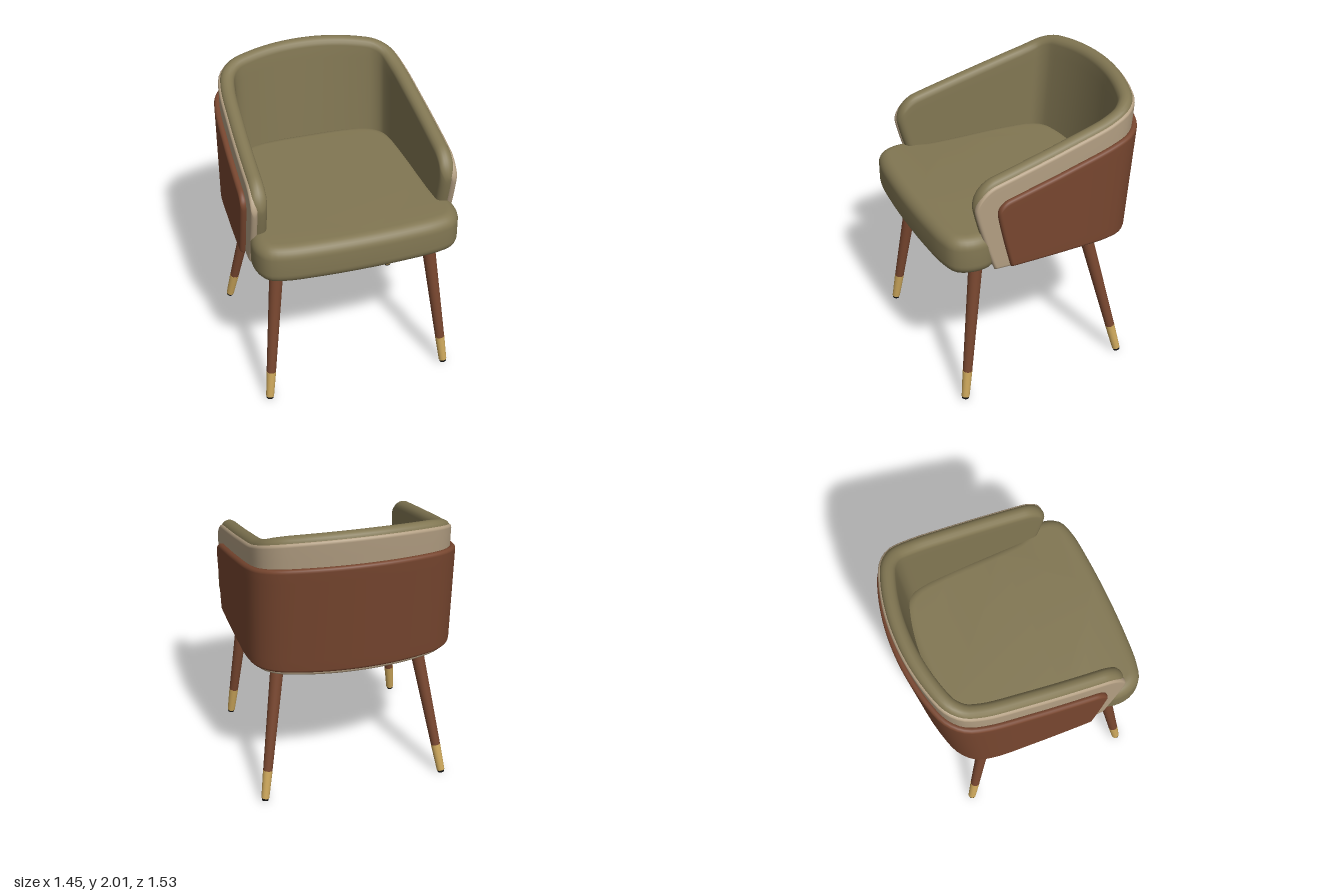
import * as THREE from 'three';
import { mergeVertices, toCreasedNormals } from 'three/addons/utils/BufferGeometryUtils.js';

const mat = (name, color, side = THREE.FrontSide) => {
  const m = new THREE.MeshStandardMaterial({ color, side });
  m.name = name;
  return m;
};

// Half of the shell's plan, from the middle of the back to the arm
const PLAN = [[0, -0.745], [0.2, -0.732], [0.4, -0.69], [0.54, -0.635], [0.62, -0.55],
  [0.655, -0.42], [0.675, -0.1], [0.685, 0.2]];

function planCurve(zFront) {
  const half = [...PLAN, [0.69, zFront]];
  const left = half.slice(1).reverse().map(([x, z]) => new THREE.Vector3(-x, 0, z));
  const right = half.map(([x, z]) => new THREE.Vector3(x, 0, z));
  const curve = new THREE.CatmullRomCurve3([...left, ...right], false, 'centripetal');
  curve.arcLengthDivisions = 800;
  return curve;
}

// The shell narrows towards the floor at the front and the back
function lean(z, y) {
  if (z < 0) return z * (1 - 0.13 * (2 - y));
  const t = THREE.MathUtils.clamp((1.5 - y) / 0.47, 0, 1);
  return z * (1 - 0.23 * Math.pow(t, 1.2));
}

// U-shaped wall with rounded rims: a and b are the outer and inner offsets from the plan
function wrapGeometry({ zFront, a, b, top, bottom, round }) {
  const curve = planCurve(zFront), length = curve.getLength();
  const stations = 120, arc = 8, rows = 10;
  const mid = (a + b) / 2, half = (b - a) / 2;
  const positions = [], index = [];
  let ring = 0;
  for (let i = 0; i <= stations; i++) {
    const u = 0.5 - 0.5 * Math.cos(Math.PI * i / stations);
    const p = curve.getPointAt(u), t = curve.getTangentAt(u);
    const d = Math.min(u, 1 - u) * length;
    const drop = d < round ? round - Math.sqrt(round ** 2 - (round - d) ** 2) : 0;
    const w = half * (d < half ? Math.sqrt(Math.max(0, 1 - (1 - d / half) ** 2)) : 1);
    const y1 = top(p.z) - drop - half, y0 = bottom(p.z) + half;
    const section = [];
    for (let j = 0; j <= arc; j++) {
      const k = Math.PI * j / arc;
      section.push([w * Math.cos(k), y1 + half * Math.sin(k)]);
    }
    for (let j = 1; j < rows; j++) section.push([-w, y1 + (y0 - y1) * j / rows]);
    for (let j = 0; j <= arc; j++) {
      const k = Math.PI * (1 + j / arc);
      section.push([w * Math.cos(k), y0 + half * Math.sin(k)]);
    }
    for (let j = 1; j < rows; j++) section.push([w, y0 + (y1 - y0) * j / rows]);
    ring = section.length;
    for (const [s, y] of section) {
      const o = mid + s;
      positions.push(p.x - t.z * o, y, lean(p.z + t.x * o, y));
    }
  }
  for (let i = 0; i < stations; i++) {
    for (let j = 0; j < ring; j++) {
      const k = (j + 1) % ring, m = i * ring, n = m + ring;
      index.push(m + j, n + j, m + k, n + j, n + k, m + k);
    }
  }
  const g = new THREE.BufferGeometry();
  g.setAttribute('position', new THREE.Float32BufferAttribute(positions, 3));
  g.setIndex(index);
  g.computeVertexNormals();
  return g;
}

// Horizontal slab with rounded edges from a mirrored half outline of [x, z] points
function slabGeometry(half, y0, y1, bevel) {
  const pts = [...half, ...half.slice(1, -1).reverse().map(([x, z]) => [-x, z])];
  const curve = new THREE.CatmullRomCurve3(
    pts.map(([x, z]) => new THREE.Vector3(x, -z, 0)), true, 'centripetal');
  const outline = curve.getSpacedPoints(120).slice(0, -1).map(p => new THREE.Vector2(p.x, p.y));
  let g = new THREE.ExtrudeGeometry(new THREE.Shape(outline), {
    depth: y1 - y0 - 2 * bevel, bevelEnabled: true, bevelThickness: bevel,
    bevelSize: bevel, bevelOffset: -bevel, bevelSegments: 8
  });
  g.rotateX(-Math.PI / 2);
  g.translate(0, y0 + bevel, 0);
  g.deleteAttribute('uv');
  g.deleteAttribute('normal');
  g = mergeVertices(g, 1e-4);
  return toCreasedNormals(g, 0.5);
}

export function createModel() {
  const olive = mat('olive fabric', 0x827753);
  const tan = mat('tan fabric', 0xb29e82);
  const wood = mat('brown wood', 0x77462f);
  const brass = mat('brass', 0xcba65b);
  const black = mat('black', 0x111111);

  const chair = new THREE.Group();
  chair.name = 'armchair';
  const add = (name, geometry, material, parent = chair) => {
    const mesh = new THREE.Mesh(geometry, material);
    mesh.name = name;
    parent.add(mesh);
    return mesh;
  };

  // Backrest and arms in three layers
  const rim = z => 1.77 - 0.25 * z + 0.1 * Math.max(0, -0.4 - z);
  add('innerPadding', wrapGeometry({
    zFront: 0.56, a: 0.012, b: 0.112, round: 0.15,
    top: z => rim(z) + 0.015, bottom: () => 1.04
  }), olive);
  add('outerPadding', wrapGeometry({
    zFront: 0.565, a: 0, b: 0.045, round: 0.15,
    top: z => rim(z) - 0.015, bottom: z => 1.01 + 0.035 * z
  }), tan);
  add('backPanel', wrapGeometry({
    zFront: 0.43, a: -0.036, b: 0.012, round: 0.09,
    top: z => 1.625 - 0.235 * z, bottom: z => 1.035 + 0.02 * z
  }), wood);

  // Seat cushion, wider in front of the arms
  add('seatCushion', slabGeometry([
    [0, 0.77], [0.3, 0.762], [0.52, 0.742], [0.63, 0.705], [0.68, 0.63], [0.695, 0.53],
    [0.68, 0.46], [0.63, 0.39], [0.61, 0.2], [0.6, -0.2], [0.56, -0.45], [0.45, -0.56], [0, -0.6]
  ], 1.03, 1.305, 0.08), olive);

  // Dark underside, slightly lower at the back
  const base = add('underside', slabGeometry([
    [0, 0.66], [0.4, 0.64], [0.53, 0.6], [0.585, 0.5], [0.61, 0.2], [0.6, -0.2],
    [0.575, -0.41], [0.5, -0.51], [0.3, -0.57], [0, -0.595]
  ], 1.0, 1.05, 0.012), black);
  base.rotation.x = -0.03;

  // Splayed tapered legs with brass ends and black feet
  const up = new THREE.Vector3(0, 1, 0);
  const rod = (name, from, to, y0, y1, r0, r1, material, parent) => {
    const at = y => from.clone().lerp(to, (y - from.y) / (to.y - from.y));
    const p = at(y0), q = at(y1), dir = q.clone().sub(p);
    const mesh = add(name, new THREE.CylinderGeometry(r1, r0, dir.length(), 24), material, parent);
    mesh.position.copy(p).add(q).multiplyScalar(0.5);
    mesh.quaternion.setFromUnitVectors(up, dir.normalize());
  };
  const legs = [
    ['front', [0.637, 0, 0.645], [0.52, 1.05, 0.495]],
    ['rear', [0.637, 0, -0.54], [0.465, 1.05, -0.315]]
  ];
  for (const [place, foot, head] of legs) {
    for (const side of [1, -1]) {
      const leg = new THREE.Group();
      leg.name = place + (side > 0 ? 'LeftLeg' : 'RightLeg');
      chair.add(leg);
      const from = new THREE.Vector3(foot[0] * side, foot[1], foot[2]);
      const to = new THREE.Vector3(head[0] * side, head[1], head[2]);
      rod('legFoot', from, to, 0.005, 0.022, 0.023, 0.024, black, leg);
      rod('legTip', from, to, 0.02, 0.215, 0.027, 0.033, brass, leg);
      rod('legShaft', from, to, 0.215, 1.05, 0.032, 0.047, wood, leg);
    }
  }
  return chair;
}
